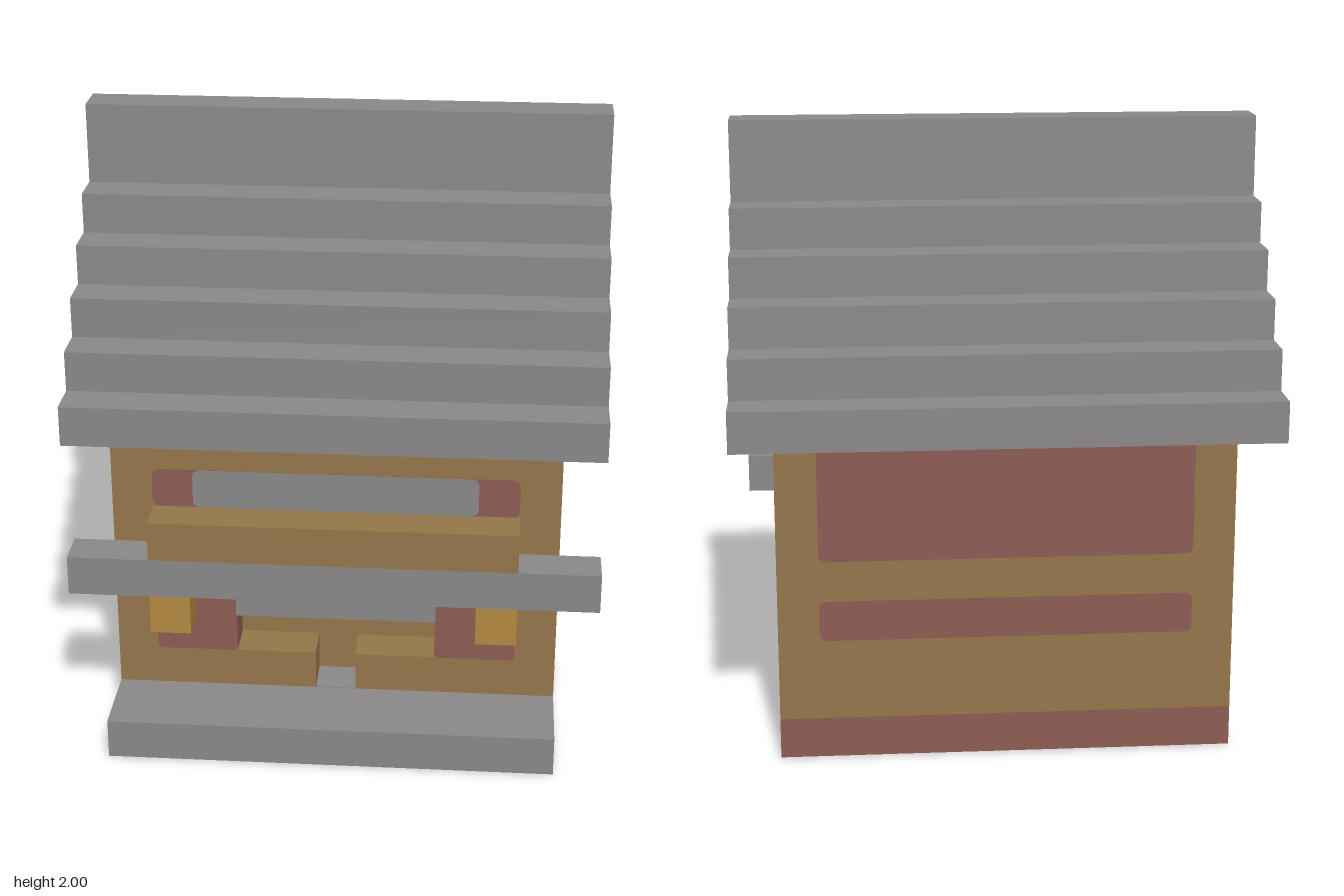
import * as THREE from 'three';

const U = 2 / 15; // one building block

const mat = (name, color) => {
  const m = new THREE.MeshStandardMaterial({ color });
  m.name = name;
  return m;
};

export function createModel() {
  const stone = mat('grey stone', 0x8a8888);
  const wood = mat('tan wood', 0x947649);
  const brick = mat('dull red brick', 0x8d5c53);
  const gold = mat('golden lamp', 0xb28840);

  const house = new THREE.Group();
  house.name = 'house';
  house.scale.setScalar(U); // everything below is measured in blocks

  const add = (name, geometry, material, parent = house) => {
    const mesh = new THREE.Mesh(geometry, material);
    mesh.name = name;
    parent.add(mesh);
    return mesh;
  };

  // Box given by its limits on each axis
  const box = (name, material, [x0, x1], [y0, y1], [z0, z1]) =>
    add(name, new THREE.BoxGeometry(x1 - x0, y1 - y0, z1 - z0), material)
      .position.set((x0 + x1) / 2, (y0 + y1) / 2, (z0 + z1) / 2);

  const polygon = (pts) => new THREE.Shape(pts.map(([x, y]) => new THREE.Vector2(x, y)));

  // Polygon with small rounded corners
  const rounded = (pts, r = 0.2) => {
    const shape = new THREE.Shape();
    const v = pts.map(([x, y]) => new THREE.Vector2(x, y));
    v.forEach((p, i) => {
      const prev = v[(i + v.length - 1) % v.length];
      const next = v[(i + 1) % v.length];
      const a = p.clone().add(prev.clone().sub(p).setLength(r));
      const b = p.clone().add(next.clone().sub(p).setLength(r));
      if (i === 0) shape.moveTo(a.x, a.y);
      else shape.lineTo(a.x, a.y);
      shape.quadraticCurveTo(p.x, p.y, b.x, b.y);
    });
    shape.closePath();
    return shape;
  };
  const rect = (x0, x1, y0, y1) => [[x0, y0], [x1, y0], [x1, y1], [x0, y1]];

  // Painted panel on a face group, layered by height
  const panel = (name, material, parent, pts, layer = 1, r = 0.2) => {
    add(name, new THREE.ShapeGeometry(rounded(pts, r), 4), material, parent).position.z = layer * 0.015;
  };
  const face = (name, position, rx, ry) => {
    const g = new THREE.Group();
    g.name = name;
    g.position.set(...position);
    g.rotation.set(rx, ry, 0);
    house.add(g);
    return g;
  };

  // Foundation and doorstep
  box('foundation', brick, [-5.5, 5.5], [0, 1], [-5, 4]);
  box('doorstep', stone, [-5.5, 5.5], [0, 1], [4, 6]);
  box('threshold', stone, [-0.5, 0.5], [1, 1.02], [3, 4]);

  // House body with stepped gables, extruded along x
  const profile = [[5, 1], [5, 9], [4, 9], [4, 10], [3, 10], [3, 11], [2, 11], [2, 12], [1, 12], [1, 13],
    [0, 13], [0, 12], [-1, 12], [-1, 11], [-2, 11], [-2, 10], [-3, 10], [-3, 1]];
  const body = new THREE.ExtrudeGeometry(polygon(profile), { depth: 11, bevelEnabled: false });
  body.rotateY(Math.PI / 2).translate(-5.5, 0, 0);
  add('houseBody', body, wood);

  // Front wall with a doorway and a wide serving opening
  const wall = polygon([[-5.5, 1], [-0.5, 1], [-0.5, 2], [-2.5, 2], [-2.5, 3], [2.5, 3], [2.5, 2],
    [0.5, 2], [0.5, 1], [5.5, 1], [5.5, 9], [-5.5, 9]]);
  const wallGeometry = new THREE.ExtrudeGeometry(wall, { depth: 1, bevelEnabled: false });
  add('frontWall', wallGeometry.translate(0, 0, 3), wood);

  // Roof: stepped bars on both slopes, plus the ridge
  for (let i = 0; i < 5; i++) {
    box('frontRoofBar', stone, [-6.5, 6.5], [8 + i, 9 + i], [4 - i, 5 - i]);
    box('backRoofBar', stone, [-6.5, 6.5], [8 + i, 9 + i], [-6 + i, -5 + i]);
  }
  box('roofRidge', stone, [-6.5, 6.5], [13, 15], [-1, 0]);

  // Front awning and lamps
  box('awningShelf', stone, [-6.5, 6.5], [4, 5], [4, 5]);
  box('awningBeam', wood, [-4.5, 4.5], [5, 6], [4, 5]);
  for (const s of [-1, 1]) {
    box('lamp', gold, [s * 4 - 0.5, s * 4 + 0.5], [3, 4], [4, 5]);
    box('openingJamb', brick, [s * 2.49 - 0.01, s * 2.49 + 0.01], [2, 3], [3, 4]);
  }

  // Front panels
  const front = face('frontPanels', [0, 0, 4], 0, 0);
  panel('upperBand', brick, front, rect(-4.5, 4.5, 6, 7));
  panel('upperWindow', stone, front, rect(-3.5, 3.5, 6, 7), 2);
  panel('lowerWindow', stone, front, rect(-2.5, 2.5, 3, 4), 1, 0.02);
  for (const s of [-1, 1]) {
    panel('lowerBrick', brick, front, rect(s * 3.5 - 1, s * 3.5 + 1, 2, 4), 1, 0.1);
  }

  // Back panels
  const back = face('backPanels', [0, 0, -5], 0, Math.PI);
  panel('upperBrick', brick, back, rect(-4.5, 4.5, 5, 8));
  panel('lowerBand', brick, back, rect(-4.5, 4.5, 3, 4));

  // Side panels, the same on both gables
  const gable = [[-3.5, 5], [3.5, 5], [3.5, 9], [2.5, 9], [2.5, 10], [1.5, 10], [1.5, 11], [0.5, 11], [0.5, 12],
    [-0.5, 12], [-0.5, 11], [-1.5, 11], [-1.5, 10], [-2.5, 10], [-2.5, 9], [-3.5, 9]];
  for (const s of [-1, 1]) {
    const side = face(s > 0 ? 'leftPanels' : 'rightPanels', [s * 5.5, 0, -0.5], 0, s * Math.PI / 2);
    panel('gableBrick', brick, side, gable);
    panel('sideBand', brick, side, rect(-3.5, 3.5, 3, 4));
    panel('sideWindow', stone, side, rect(-1.5, 1.5, 2, 3));
  }

  // Underside: floor ring, floor centre and door gap
  const under = face('undersidePanels', [0, 0.02, 0], Math.PI / 2, 0);
  under.position.y = 0;
  panel('floorRing', wood, under, rect(-4.5, 4.5, -4, 3));
  panel('floorCentre', stone, under, rect(-3.5, 3.5, -3, 1), 2);
  panel('doorGap', stone, under, rect(-0.5, 0.5, 3, 4));

  const model = new THREE.Group();
  model.name = 'model';
  model.add(house);
  return model;
}
